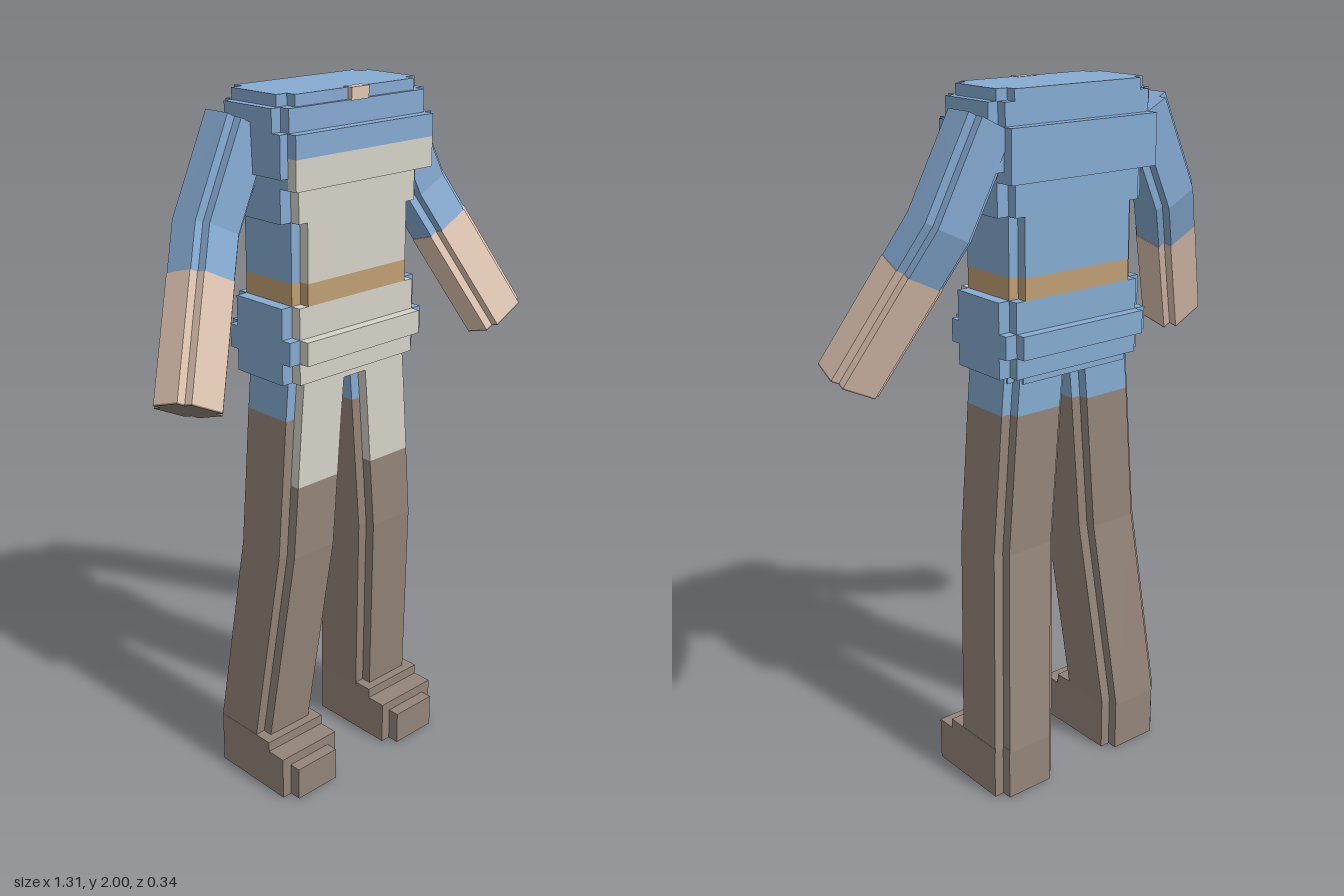
import * as THREE from 'three';

const mat = (name, color) => {
  const m = new THREE.MeshStandardMaterial({ color });
  m.name = name;
  return m;
};
const V = (x, y, z) => new THREE.Vector3(x, y, z);

export function createModel() {
  const blue = mat('shirt blue', 0x86abd2);
  const cream = mat('apron cream', 0xd6d2c8);
  const brown = mat('trouser brown', 0x94857a);
  const skin = mat('skin', 0xe0c6b3);
  const tan = mat('belt tan', 0xbf9f75);
  const model = new THREE.Group();
  model.name = 'figure';
  const CX = -0.008; // torso and legs sit slightly off centre

  const group = (name) => {
    const g = new THREE.Group();
    g.name = name;
    model.add(g);
    return g;
  };

  // Box given by its limits
  const box = (parent, name, m, x0, x1, y0, y1, z0, z1) => {
    const mesh = new THREE.Mesh(new THREE.BoxGeometry(x1 - x0, y1 - y0, z1 - z0), m);
    mesh.position.set((x0 + x1) / 2, (y0 + y1) / 2, (z0 + z1) / 2);
    mesh.name = name;
    parent.add(mesh);
  };

  // Six-sided beam between two rings {c, u, v}, spanning u0..u1 and v0..v1
  const beam = (parent, name, m, a, b, u0, u1, v0, v1) => {
    const pts = [a, b].flatMap((r) => [[u0, v0], [u1, v0], [u1, v1], [u0, v1]].map(([u, v]) =>
      r.c.clone().addScaledVector(r.u, u).addScaledVector(r.v, v)));
    const flip = a.u.clone().cross(a.v).dot(b.c.clone().sub(a.c)) < 0;
    const faces = [[0, 3, 2, 1], [4, 5, 6, 7]];
    for (let i = 0; i < 4; i++) faces.push([i, (i + 1) % 4, (i + 1) % 4 + 4, i + 4]);
    const pos = [];
    for (const f of faces) {
      const [p, q, r, s] = flip ? [...f].reverse() : f;
      for (const k of [p, q, r, p, r, s]) pos.push(...pts[k].toArray());
    }
    const geo = new THREE.BufferGeometry();
    geo.setAttribute('position', new THREE.Float32BufferAttribute(pos, 3));
    geo.computeVertexNormals();
    const mesh = new THREE.Mesh(geo, m);
    mesh.name = name;
    parent.add(mesh);
  };

  // Limb piece with notched corners: wide core plus front and back slabs
  const notched = (parent, name, m, a, b, hu, hv, n, frontMat = m) => {
    beam(parent, name + 'Core', m, a, b, -hu, hu, -hv + n, hv - n);
    beam(parent, name + 'Front', frontMat, a, b, -hu + n, hu - n, hv - n, hv);
    beam(parent, name + 'Back', m, a, b, -hu + n, hu - n, -hv, -hv + n);
  };

  // Torso layers: y0, y1, half width, slab half width, front z, back z, front, other
  const torso = group('torso');
  const layers = [
    [1.97, 2.0, 0.245, 0.21, 0.10, -0.13, blue, blue],
    [1.91, 1.97, 0.27, 0.24, 0.11, -0.13, blue, blue],
    [1.85, 1.91, 0.27, 0.245, 0.14, -0.16, blue, blue],
    [1.80, 1.85, 0.27, 0.245, 0.14, -0.16, cream, blue],
    [1.77, 1.80, 0.245, 0.245, 0.14, -0.16, cream, blue],
    [1.68, 1.77, 0.245, 0.21, 0.11, -0.13, cream, blue],
    [1.52, 1.68, 0.21, 0.18, 0.11, -0.13, cream, blue],
    [1.46, 1.52, 0.21, 0.18, 0.11, -0.13, tan, tan],
    [1.375, 1.46, 0.245, 0.21, 0.11, -0.13, cream, blue],
    [1.31, 1.375, 0.245, 0.21, 0.14, -0.16, cream, blue],
    [1.25, 1.31, 0.245, 0.21, 0.11, -0.13, cream, blue],
    [1.23, 1.25, 0.21, 0.18, 0.10, -0.12, cream, blue],
  ];
  for (const [y0, y1, w, s, zf, zb, front, other] of layers) {
    const n = 0.03;
    box(torso, 'torsoCore', other, CX - w, CX + w, y0, y1, zb + n, zf - n);
    box(torso, 'torsoFront', front, CX - s, CX + s, y0, y1, zf - n, zf);
    box(torso, 'torsoBack', other, CX - s, CX + s, y0, y1, zb, zb + n);
  }
  box(torso, 'neckPatch', skin, -0.038, 0.024, 1.968, 2.001, 0.083, 0.113);

  for (const side of [-1, 1]) {
    const label = side > 0 ? 'left' : 'right';

    // Arm: bends forward at the elbow, sleeve ends just below it
    const arm = group(label + 'Arm');
    const u = V(0.895 * side, 0.446, 0);
    const ring = (x, y, z, v) => ({ c: V(x * side, y, z), u, v });
    const dir = V(0.192 * side, -0.395, 0.15).normalize();
    const foreV = V(0, 0, 1).addScaledVector(dir, -dir.z).normalize();
    const upperV = V(0, 0, 1);
    const elbowV = upperV.clone().add(foreV).normalize().multiplyScalar(1.02);
    const shoulder = ring(0.26, 1.92, -0.068, upperV);
    const elbow = ring(0.385, 1.67, -0.055, elbowV);
    const cuff = ring(0.44, 1.557, -0.012, foreV);
    const hand = ring(0.577, 1.275, 0.095, foreV);
    const tip = { ...hand, c: hand.c.clone().addScaledVector(dir, 0.004) };
    notched(arm, 'upperArm', blue, shoulder, elbow, 0.076, 0.068, 0.025);
    notched(arm, 'sleeveEnd', blue, elbow, cuff, 0.076, 0.068, 0.025);
    notched(arm, 'forearm', skin, cuff, hand, 0.078, 0.068, 0.025);
    notched(arm, 'handEnd', brown, hand, tip, 0.078, 0.068, 0.025);

    // Leg: straight thigh, shin slanting back to the ankle
    const leg = group(label + 'Leg');
    const rings = [[1.25, 0.113, -0.007], [1.14, 0.123, -0.007], [0.95, 0.138, -0.007],
      [0.74, 0.155, -0.007], [0.15, 0.205, -0.065]].map(([y, x, z]) =>
      ({ c: V(CX + x * side, y, z), u: V(1, 0, 0), v: V(0, 0, 1) }));
    const parts = [['hip', blue, cream], ['thigh', brown, cream], ['knee', brown, brown], ['shin', brown, brown]];
    parts.forEach(([name, m, front], i) =>
      notched(leg, name, m, rings[i], rings[i + 1], 0.104, 0.107, 0.03, front));

    // Shoe: stepped toe and notched heel
    const shoe = group(label + 'Shoe');
    const x = CX + 0.205 * side;
    box(shoe, 'shoeBase', brown, x - 0.104, x + 0.104, 0, 0.13, -0.14, 0.13);
    box(shoe, 'shoeTop', brown, x - 0.104, x + 0.104, 0.13, 0.16, -0.14, 0.07);
    box(shoe, 'toe', brown, x - 0.074, x + 0.074, 0, 0.1, 0.13, 0.165);
    box(shoe, 'heel', brown, x - 0.074, x + 0.074, 0, 0.16, -0.17, -0.14);
  }
  return model;
}
